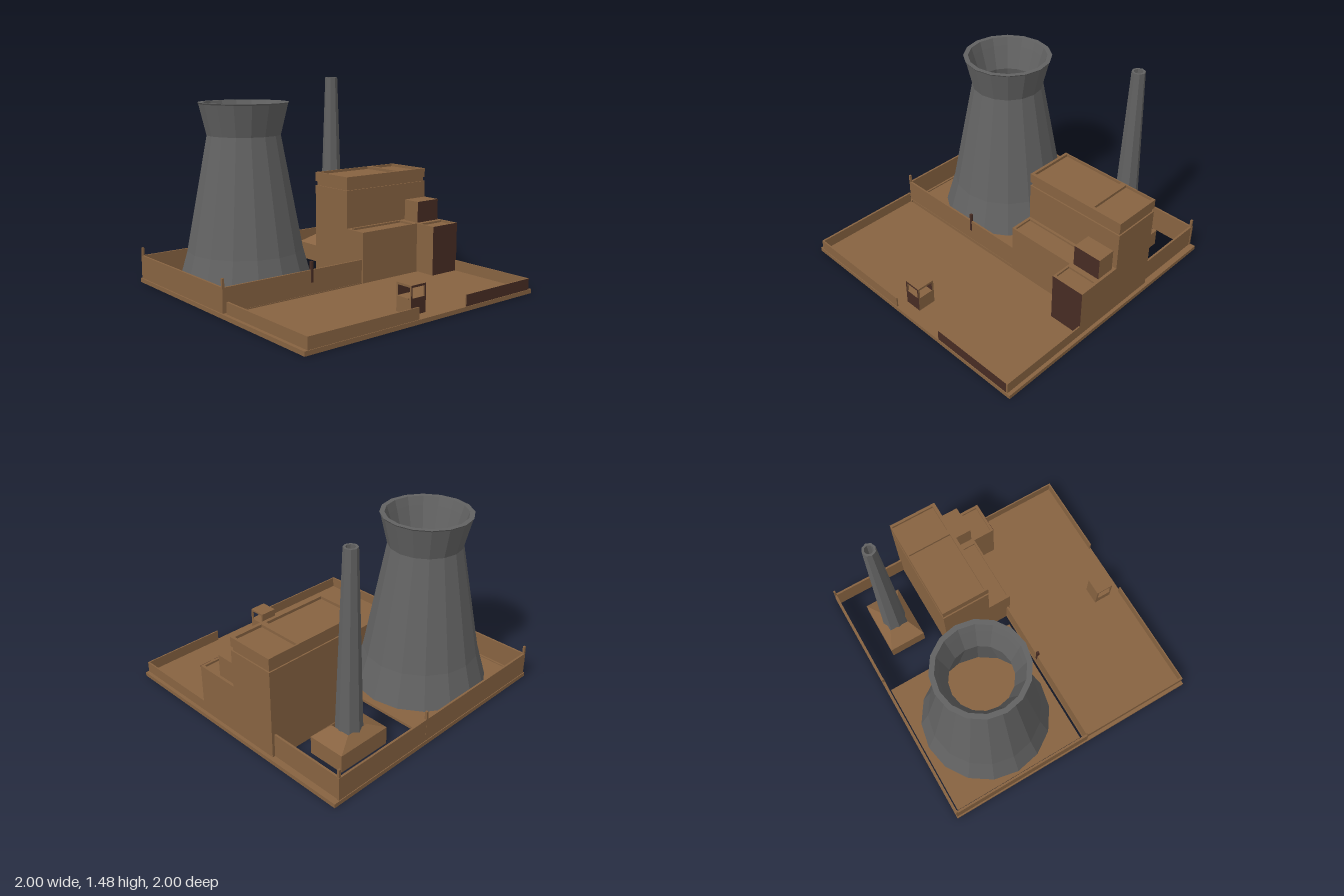
import * as THREE from 'three';

const brown = new THREE.MeshStandardMaterial({ color: 0x876341, side: THREE.DoubleSide });
brown.name = 'brown';
const darkBrown = new THREE.MeshStandardMaterial({ color: 0x472c23 });
darkBrown.name = 'darkBrown';
const grey = new THREE.MeshStandardMaterial({ color: 0x626262, flatShading: true, side: THREE.DoubleSide });
grey.name = 'grey';
const darkFront = [brown, brown, brown, brown, darkBrown, brown];

export function createModel() {
  const root = new THREE.Group();
  root.name = 'powerStation';

  // Box given by its limits on each axis
  function box(name, [x0, x1], [y0, y1], [z0, z1], material = brown, parent = root) {
    const mesh = new THREE.Mesh(new THREE.BoxGeometry(x1 - x0, y1 - y0, z1 - z0), material);
    mesh.position.set((x0 + x1) / 2, (y0 + y1) / 2, (z0 + z1) / 2);
    mesh.name = name;
    parent.add(mesh);
    return mesh;
  }

  // Roof border with rectangular openings; each rectangle is [x0, x1, z0, z1]
  function parapet(name, outer, holes, y0, y1) {
    const trace = (path, [x0, x1, z0, z1]) =>
      path.moveTo(x0, -z0).lineTo(x1, -z0).lineTo(x1, -z1).lineTo(x0, -z1).closePath();
    const shape = new THREE.Shape();
    trace(shape, outer);
    for (const h of holes) {
      const hole = new THREE.Path();
      trace(hole, h);
      shape.holes.push(hole);
    }
    const geometry = new THREE.ExtrudeGeometry(shape, { depth: y1 - y0, bevelEnabled: false });
    geometry.rotateX(-Math.PI / 2);
    const mesh = new THREE.Mesh(geometry, brown);
    mesh.position.y = y0;
    mesh.name = name;
    root.add(mesh);
  }

  // Hollow faceted shell turned from a closed profile
  function shell(name, points, sides, x, z) {
    const profile = points.map(([r, y]) => new THREE.Vector2(r, y));
    const mesh = new THREE.Mesh(new THREE.LatheGeometry(profile, sides), grey);
    mesh.position.set(x, 0, z);
    mesh.name = name;
    root.add(mesh);
  }

  // Ground: front yard, tower pad and edge strips around the open rear area
  box('yard', [-1, 1], [0, 0.03], [0.15, 1]);
  box('towerPad', [-0.95, 0.1], [0.01, 0.03], [-0.97, 0.09]);
  box('leftStrip', [-1, -0.96], [0, 0.03], [-1, 0.15]);
  box('rightStrip', [0.95, 1], [0, 0.03], [-1, 0.15]);
  box('backStrip', [-1, 1], [0, 0.03], [-1, -0.98]);
  box('middleStrip', [-1, 0.18], [0, 0.03], [0.11, 0.13]);

  // High walls around the rear compound
  box('leftWall', [-0.99, -0.975], [0.03, 0.2], [-0.99, 0.125]);
  box('backWall', [-0.99, 0.96], [0.03, 0.2], [-0.995, -0.98]);
  box('rightWall', [0.94, 0.955], [0.03, 0.2], [-0.99, -0.41]);
  box('middleWall', [-0.99, 0.18], [0.03, 0.2], [0.113, 0.127]);

  // Posts on the walls
  for (const [x, z] of [[-0.983, -0.985], [0.948, -0.985], [-0.983, 0.12]])
    box('cornerPost', [x - 0.008, x + 0.008], [0.2, 0.26], [z - 0.008, z + 0.008]);
  box('backPost', [0.132, 0.148], [0.03, 0.26], [-0.996, -0.978], darkFront);
  box('middlePost', [-0.28, -0.262], [0.11, 0.26], [0.111, 0.129], darkBrown);

  // Low walls around the yard
  box('lowLeftWall', [-0.975, -0.96], [0.03, 0.11], [0.15, 0.995]);
  box('lowRightWall', [0.965, 0.975], [0.03, 0.11], [0.31, 0.995]);
  box('lowFrontWallLeft', [-0.96, -0.1], [0.03, 0.11], [0.985, 0.995]);
  box('lowFrontWallRight', [0.33, 0.975], [0.03, 0.11], [0.985, 0.995], darkFront);

  // Main hall with a groove below its roof band
  box('hall', [0.18, 0.975], [0, 0.68], [-0.41, -0.04]);
  box('hallGroove', [0.19, 0.965], [0.68, 0.71], [-0.4, -0.05]);
  box('hallRoof', [0.18, 0.975], [0.71, 0.76], [-0.41, -0.04]);
  parapet('hallParapet', [0.18, 0.975, -0.41, -0.04],
    [[0.2, 0.695, -0.4, -0.065], [0.735, 0.955, -0.4, -0.065]], 0.76, 0.78);

  // Lower annex, its front bay and rooftop box
  box('annex', [0.18, 0.975], [0, 0.385], [-0.04, 0.14]);
  parapet('annexParapet', [0.18, 0.975, -0.04, 0.14], [[0.2, 0.695, -0.02, 0.125]], 0.385, 0.4);
  box('frontBay', [0.72, 0.975], [0.03, 0.385], [0.14, 0.31], darkFront);
  parapet('frontBayParapet', [0.72, 0.975, 0.14, 0.31], [[0.735, 0.955, 0.165, 0.29]], 0.385, 0.4);
  box('frontBayEdge', [0.72, 0.975], [0.385, 0.4], [0.31, 0.312], darkBrown);
  box('roofBox', [0.74, 0.955], [0.4, 0.56], [-0.015, 0.125], darkFront);

  // Cooling tower: outer wall, lip, then inner wall
  shell('coolingTower', [
    [0.5, 0], [0.42, 0.28], [0.265, 1.1], [0.318, 1.32], [0.325, 1.33],
    [0.29, 1.33], [0.27, 1.27], [0.217, 1.1], [0.39, 0.28], [0.485, 0], [0.5, 0],
  ], 16, -0.44, -0.44);

  // Chimney on an open base with a sloping roof
  shell('chimney', [
    [0.097, 0.06], [0.048, 1.48], [0.032, 1.48], [0.06, 0.06], [0.097, 0.06],
  ], 8, 0.55, -0.68);

  const rings = [[0.21, 0, 0.14], [0.21, 0.13, 0.14], [0.085, 0.19, 0.075]];
  const positions = [], index = [];
  for (const [w, y, d] of rings)
    for (const [sx, sz] of [[-1, 1], [1, 1], [1, -1], [-1, -1]]) positions.push(sx * w, y, sz * d);
  for (let r = 0; r < 2; r++)
    for (let i = 0; i < 4; i++) {
      const a = r * 4 + i, b = r * 4 + (i + 1) % 4;
      index.push(a, b, b + 4, a, b + 4, a + 4);
    }
  let baseGeometry = new THREE.BufferGeometry();
  baseGeometry.setAttribute('position', new THREE.Float32BufferAttribute(positions, 3));
  baseGeometry.setIndex(index);
  baseGeometry = baseGeometry.toNonIndexed();
  baseGeometry.computeVertexNormals();
  const base = new THREE.Mesh(baseGeometry, brown);
  base.position.set(0.55, 0.02, -0.68);
  base.name = 'chimneyBase';
  root.add(base);

  // Gatehouse with open side windows
  const gate = new THREE.Group();
  gate.name = 'gatehouse';
  root.add(gate);
  box('gatehouseBody', [-0.09, 0.04], [0.03, 0.14], [0.775, 0.91], darkFront, gate);
  box('gatehouseRoof', [-0.09, 0.04], [0.21, 0.225], [0.775, 0.91], darkFront, gate);
  box('gatehouseBackWall', [-0.09, 0.04], [0.14, 0.21], [0.775, 0.79], darkFront, gate);
  for (const x of [-0.09, 0.028])
    box('gatehousePost', [x, x + 0.012], [0.14, 0.21], [0.897, 0.91], darkFront, gate);
  box('gatehouseLedge', [-0.1, -0.09], [0.13, 0.14], [0.79, 0.89], brown, gate);

  return root;
}
